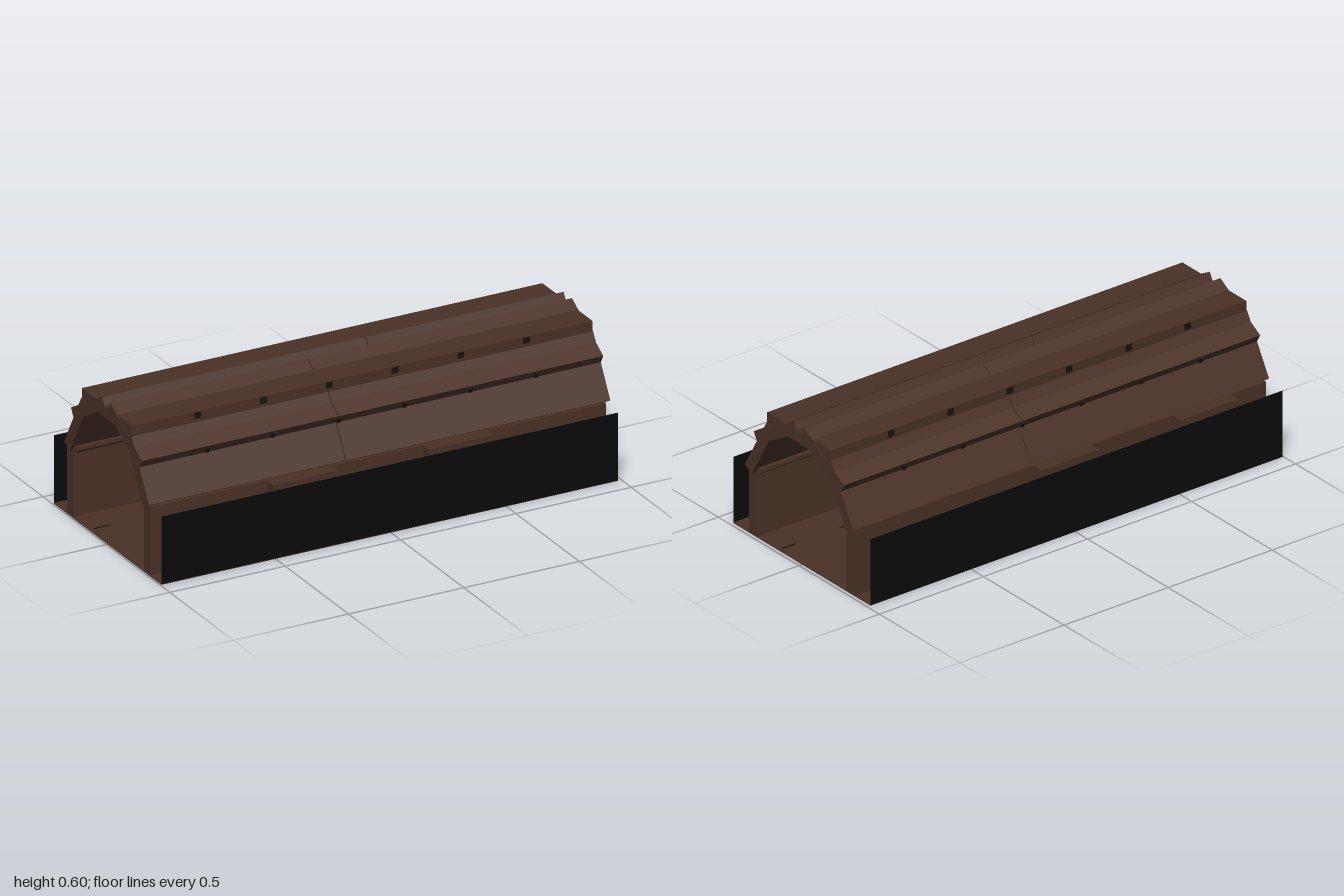
import * as THREE from 'three';

const wood = new THREE.MeshStandardMaterial({ color: 0x4a3126 });
wood.name = 'dark wood';
const black = new THREE.MeshStandardMaterial({ color: 0x0b0b0b, side: THREE.DoubleSide });
black.name = 'black panel';
const shadowWood = new THREE.MeshStandardMaterial({ color: 0x1a110d });
shadowWood.name = 'peg brown';

// Extrudes a [z, y] outline along x from x0 to x1
function prism(name, outline, x0, x1, side = 1, material = wood) {
  const shape = new THREE.Shape(outline.map(([z, y]) => new THREE.Vector2(-z * side, y)));
  const geometry = new THREE.ExtrudeGeometry(shape, { depth: x1 - x0, bevelEnabled: false });
  geometry.rotateY(Math.PI / 2).translate(x0, 0, 0);
  const mesh = new THREE.Mesh(geometry, material);
  mesh.name = name;
  return mesh;
}

const rect = (z0, z1, y0, y1) => [[z0, y0], [z1, y0], [z1, y1], [z0, y1]];

// Sloped board section: outer edge from a to b, thickened towards the inside
function board(a, b, t) {
  const dz = b[0] - a[0], dy = b[1] - a[1], l = Math.hypot(dz, dy);
  const n = [-dy / l * t, dz / l * t];
  return [a, b, [b[0] + n[0], b[1] + n[1]], [a[0] + n[0], a[1] + n[1]]];
}

export function createModel() {
  const model = new THREE.Group();
  model.name = 'coveredTunnel';

  // Floor
  model.add(prism('floor', rect(-0.425, 0.425, 0, 0.003), -0.995, 0.985));

  const pegs = Array.from({ length: 6 }, (_, i) => 0.71 - i * 0.285);

  for (const side of [1, -1]) {
    const half = new THREE.Group();
    half.name = side > 0 ? 'frontHalf' : 'backHalf';
    const add = (name, outline, x0, x1, material) => half.add(prism(name, outline, x0, x1, side, material));

    // Outer black panel
    const panel = new THREE.Mesh(new THREE.PlaneGeometry(1.98, 0.285), black);
    panel.position.set(-0.005, 0.1425, 0.425 * side);
    panel.name = 'outerPanel';
    half.add(panel);

    // Wall, its inner ledge and the short buttresses outside
    add('wall', rect(0.278, 0.33, 0, 0.285), -0.99, 0.985);
    add('ledge', [[0.295, 0.297], [0.26, 0.297], [0.26, 0.282], [0.278, 0.267], [0.295, 0.267]], -0.985, 0.98);
    for (const x of side > 0 ? [-0.345, 0.33] : [-0.68, -0.01]) {
      add('buttress', rect(0.33, 0.378, 0, 0.285), x - 0.14, x + 0.14);
    }

    // Overlapping roof boards, each split by one seam
    const seam = side > 0 ? -0.147 : 0.142;
    for (const [x0, x1] of [[-1, seam - 0.002], [seam + 0.002, 1]]) {
      add('lowerRoofBoard', board([0.335, 0.297], [0.198, 0.534], 0.05), x0, x1);
      add('upperRoofBoard', board([0.28, 0.46], [0.033, 0.603], 0.05), x0, x1);
    }

    // Pegs under the roof lips
    for (const x of pegs) {
      add('upperPeg', rect(0.19, 0.202, 0.545, 0.57), x - 0.014, x + 0.014, shadowWood);
      add('lowerPeg', board([0.281, 0.458], [0.269, 0.437], 0.01), x - 0.006, x + 0.006, shadowWood);
    }

    // Dark slots in the floor
    for (let i = 0; i < 7; i++) {
      const x = side * (0.94 - i * 0.285);
      add('floorSlot', rect(0.14, 0.147, side > 0 ? -0.0005 : 0.001, 0.004), x - 0.035, x + 0.035, shadowWood);
    }
    model.add(half);
  }

  // Flat ridge board and a small block on the floor
  model.add(prism('ridgeBoard', rect(-0.197, 0.2, 0.523, 0.574), -0.998, 0.998));
  model.add(prism('floorBlock', rect(-0.03, 0.013, 0, 0.043), -0.03, 0.03));

  return model;
}
